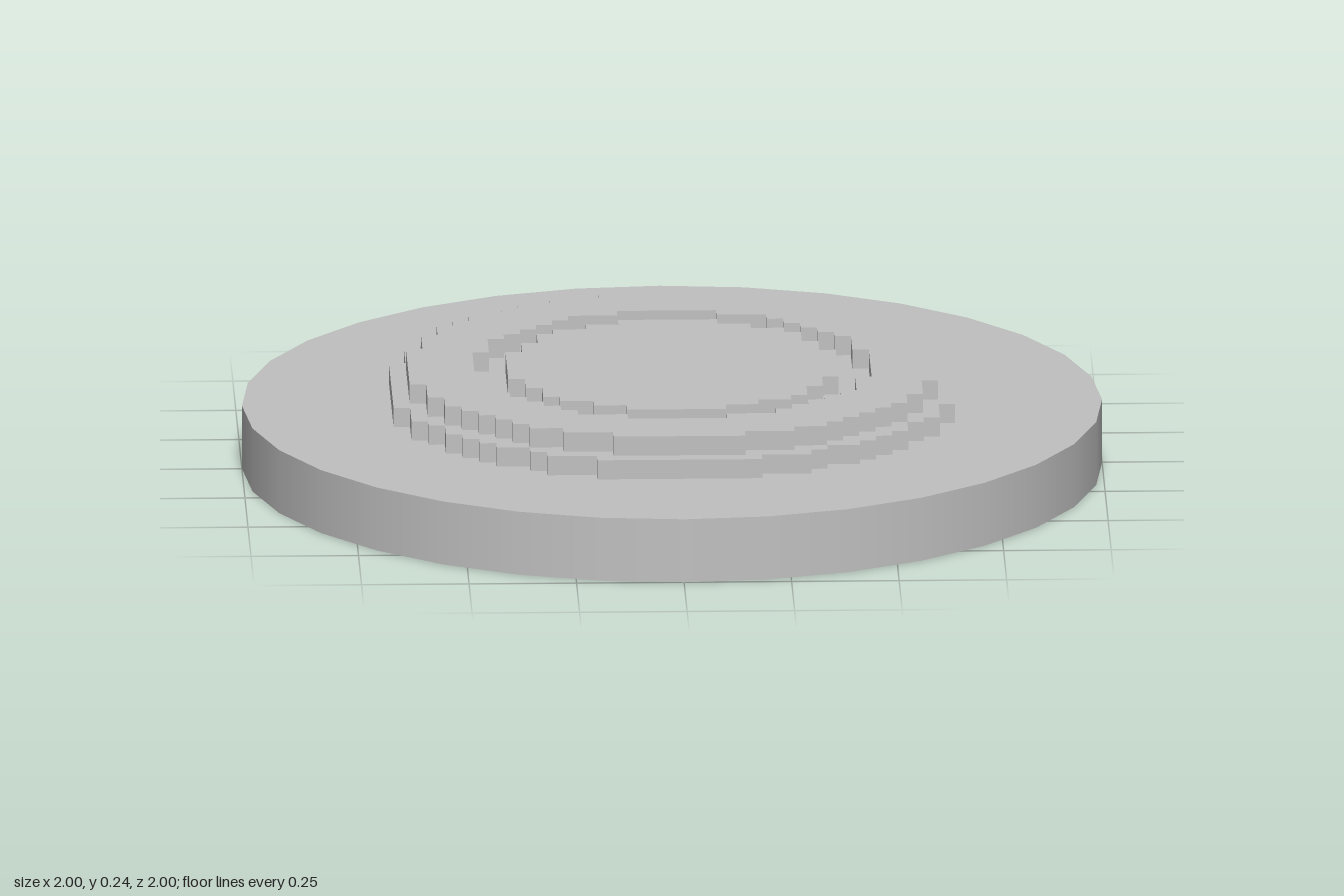
import * as THREE from 'three';

const CELL = 0.0384;   // size of one grid step
const BASE_H = 0.152;
const TIER_H = 0.046;

// Stepped outline of a circle on a square grid; radius is in cells
function steppedCircle(radius, PathType = THREE.Shape) {
  const n = Math.floor(radius);
  const halfWidth = (row) => {
    let w = 0;
    while ((w + 0.5) ** 2 + (row + 0.5) ** 2 < radius * radius) w++;
    return w;
  };
  const right = [];
  for (let row = -n; row < n; row++) {
    const w = halfWidth(row);
    if (!w) continue;
    if (row === -n || halfWidth(row - 1) !== w) right.push([w, row]);
    if (row === n - 1 || halfWidth(row + 1) !== w) right.push([w, row + 1]);
  }
  const left = right.map(([x, y]) => [-x, y]).reverse();
  const points = [...right, ...left].map(([x, y]) => new THREE.Vector2(x * CELL, y * CELL));
  return new PathType(points);
}

// Upright slab with a stepped rim and an optional stepped hole
function steppedSlab(name, material, y, radius, holeRadius) {
  const shape = steppedCircle(radius);
  if (holeRadius) shape.holes.push(steppedCircle(holeRadius, THREE.Path));
  const geometry = new THREE.ExtrudeGeometry(shape, { depth: TIER_H, bevelEnabled: false });
  geometry.rotateX(-Math.PI / 2);
  const mesh = new THREE.Mesh(geometry, material);
  mesh.name = name;
  mesh.position.y = y;
  return mesh;
}

export function createModel() {
  const group = new THREE.Group();
  group.name = 'steppedDisc';
  const grey = new THREE.MeshStandardMaterial({ color: 0xc0c0c0 });
  grey.name = 'grey';

  // Round base plate
  const base = new THREE.Mesh(new THREE.CylinderGeometry(1, 1, BASE_H, 32), grey);
  base.name = 'basePlate';
  base.position.y = BASE_H / 2;
  group.add(base);

  // Lower tier, then a raised ring and centre with a groove between them
  const topY = BASE_H + TIER_H;
  group.add(
    steppedSlab('lowerTier', grey, BASE_H, 17.25),
    steppedSlab('upperRing', grey, topY, 16, 12),
    steppedSlab('centrePlate', grey, topY, 10),
  );
  return group;
}
